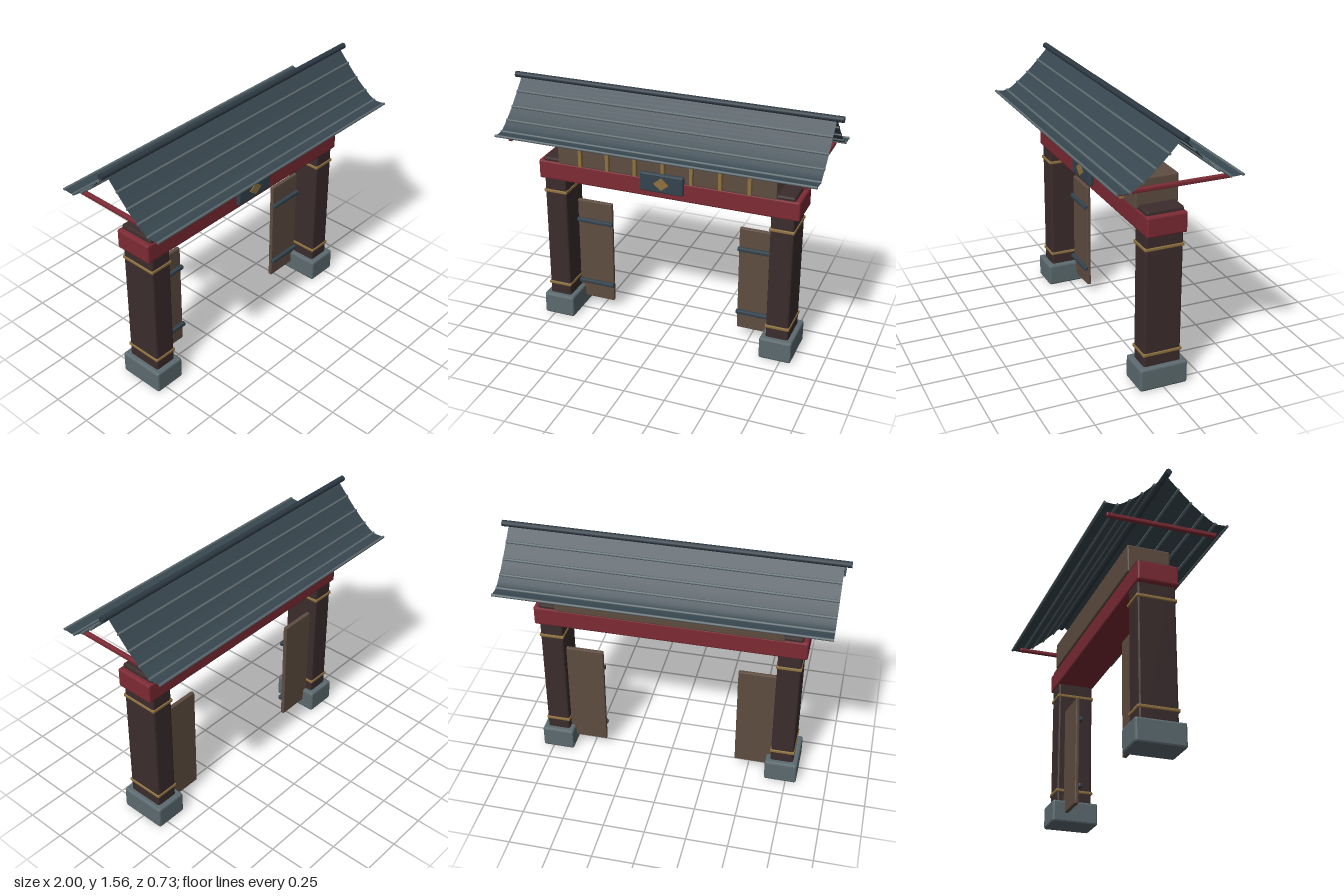
import * as THREE from 'three';
import { RoundedBoxGeometry } from 'three/addons/geometries/RoundedBoxGeometry.js';

const paint = (name, color, side = THREE.FrontSide) => {
  const m = new THREE.MeshStandardMaterial({ color, side });
  m.name = name;
  return m;
};

export function createModel() {
  const red = paint('red lacquer', 0x7c2a34);
  const darkWood = paint('dark timber', 0x3b2c2d);
  const wood = paint('brown wood', 0x5f4d41);
  const stone = paint('grey stone', 0x5c6a6f);
  const gold = paint('old gold', 0x8f7140);
  const slate = paint('slate', 0x34434e);
  const darkSlate = paint('dark slate', 0x2d3943);
  const roofing = paint('roof slate', 0x384750, THREE.DoubleSide);

  const gate = new THREE.Group();
  gate.name = 'gate';

  const add = (name, geometry, material, parent = gate) => {
    const mesh = new THREE.Mesh(geometry, material);
    mesh.name = name;
    parent.add(mesh);
    return mesh;
  };

  // chamfered box given by its extents on each axis
  const box = (name, material, [x0, x1], [y0, y1], [z0, z1], bevel = 0.01, parent = gate) => {
    const geometry = new RoundedBoxGeometry(x1 - x0, y1 - y0, z1 - z0, 1, bevel);
    geometry.computeVertexNormals();
    geometry.translate((x0 + x1) / 2, (y0 + y1) / 2, (z0 + z1) / 2);
    return add(name, geometry, material, parent);
  };

  // round bar running along x
  const bar = (name, material, radius, length, y, z, sides) => {
    const geometry = new THREE.CylinderGeometry(radius, radius, length, sides);
    geometry.rotateZ(Math.PI / 2);
    add(name, geometry, material).position.set(0, y, z);
  };

  // posts, doors and roof braces, one set per side
  for (const s of [-1, 1]) {
    const side = new THREE.Group();
    side.name = s > 0 ? 'leftSide' : 'rightSide';
    gate.add(side);
    const span = (a, b) => (s > 0 ? [a, b] : [-b, -a]);

    box('footing', stone, span(0.615, 0.815), [0, 0.14], [-0.146, 0.146], 0.012, side);
    box('post', darkWood, span(0.645, 0.785), [0.004, 1.083], [-0.113, 0.113], 0.012, side);
    for (const y of [0.213, 0.86]) {
      box('postBand', gold, span(0.64, 0.79), [y - 0.01, y + 0.01], [-0.119, 0.119], 0.005, side);
    }
    box('door', wood, span(0.415, 0.67), [0.06, 0.75], [-0.069, -0.044], 0.006, side);
    for (const y of [0.178, 0.615]) {
      box('doorStrap', slate, span(0.41, 0.66), [y - 0.013, y + 0.013], [-0.046, -0.022], 0.006, side);
    }
    box('roofBrace', red, span(0.87, 0.895), [1.248, 1.273], [-0.325, 0.325], 0.006, side);
  }

  // lintel and upper panel
  box('lintel', red, [-0.815, 0.815], [0.94, 1.06], [-0.12, 0.12], 0.01);
  box('upperPanel', wood, [-0.68, 0.68], [1.058, 1.233], [-0.128, 0.128], 0.008);
  for (let i = -3; i <= 3; i++) {
    const x = i * 0.175;
    box('slat', gold, [x - 0.011, x + 0.011], [1.068, 1.21], [0.126, 0.153], 0.003);
  }

  // plaque with a diamond
  box('plaque', slate, [-0.135, 0.135], [0.995, 1.115], [0.137, 0.167], 0.01);
  const diamond = new THREE.CylinderGeometry(0.048, 0.048, 0.009, 4);
  diamond.rotateX(Math.PI / 2);
  diamond.scale(1, 0.8, 1);
  add('plaqueDiamond', diamond.toNonIndexed(), gold).position.set(0, 1.055, 0.169);

  // curved roof sheets with tile ribs: profile points are (z, y) from ridge to eave
  const profile = [[0, 1.538], [0.072, 1.462], [0.144, 1.39], [0.216, 1.33], [0.287, 1.286], [0.359, 1.286]];
  const curve = new THREE.CatmullRomCurve3(profile.map(([z, y]) => new THREE.Vector3(0, y, z)));
  for (const s of [-1, 1]) {
    const sheet = new THREE.PlaneGeometry(1.92, 1, 1, 20);
    const pos = sheet.attributes.position;
    for (let i = 0; i < pos.count; i++) {
      const p = curve.getPoint(0.5 - pos.getY(i));
      pos.setXYZ(i, pos.getX(i), p.y, p.z);
    }
    if (s < 0) sheet.rotateY(Math.PI);
    sheet.computeVertexNormals();
    add(s > 0 ? 'frontRoof' : 'backRoof', sheet, roofing);
    for (const [z, y] of profile.slice(1)) bar('roofRib', stone, 0.008, 1.92, y, s * z, 8);
  }
  bar('ridge', darkSlate, 0.018, 2, 1.54, 0, 12);

  return gate;
}
